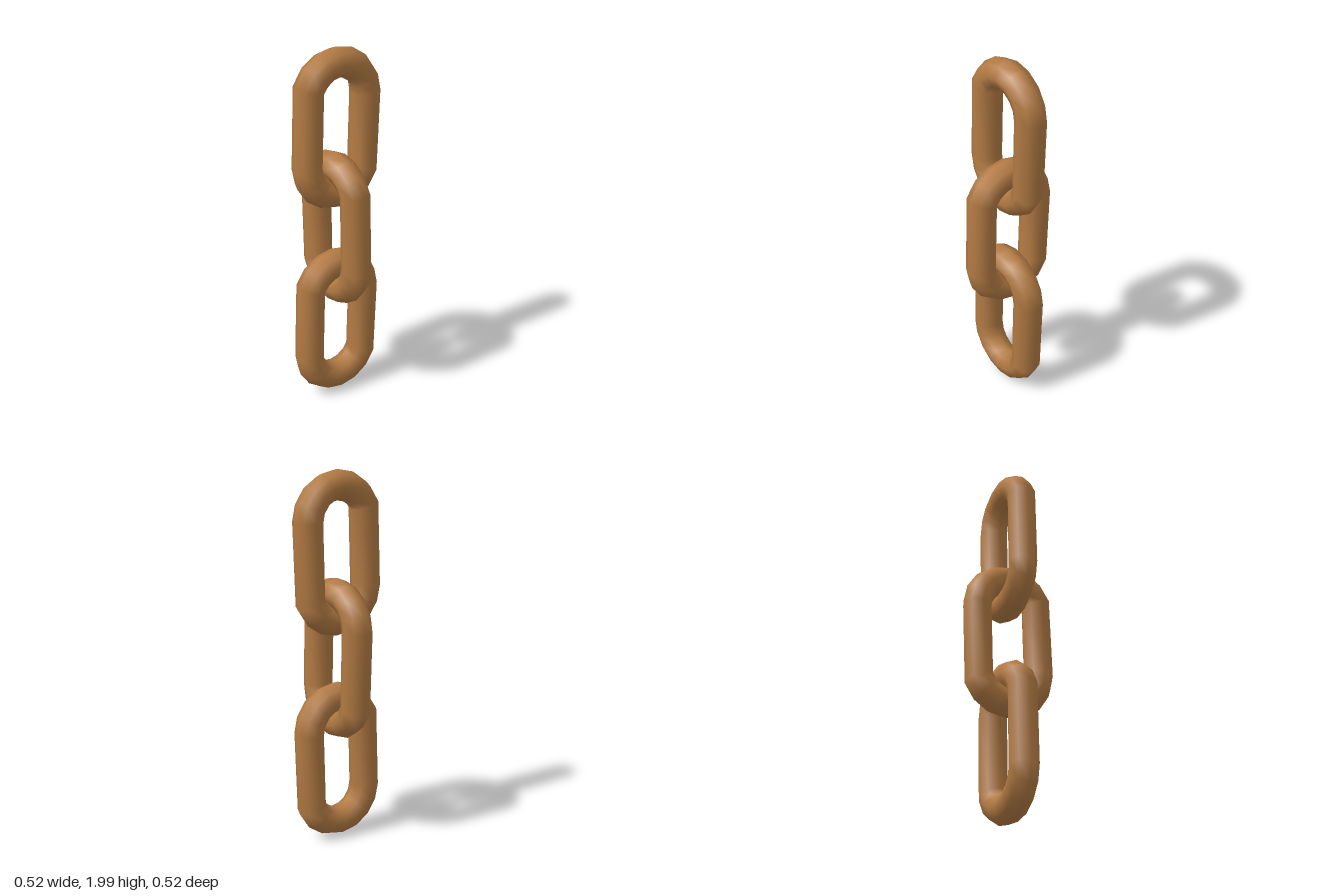
import * as THREE from 'three';

const BEND = 0.18;      // radius of the rounded ends, at the bar's centre line
const STRAIGHT = 0.175; // half length of the straight sides
const BAR = 0.08;       // bar thickness radius
const SIDES = 8;
const STEPS = 16;

// Centre line of one link: two half circles of eight points each
function linkPath() {
  const path = [];
  for (let i = 0; i < STEPS; i++) {
    const a = (i / STEPS) * Math.PI * 2;
    const lift = i < STEPS / 2 ? STRAIGHT : -STRAIGHT;
    path.push(new THREE.Vector2(BEND * Math.cos(a), BEND * Math.sin(a) + lift));
  }
  return path;
}

// Sweep an octagonal bar around the closed centre line
function linkGeometry() {
  const path = linkPath();
  const positions = [];
  const indices = [];
  path.forEach((p, i) => {
    const before = p.clone().sub(path[(i + STEPS - 1) % STEPS]).normalize();
    const after = path[(i + 1) % STEPS].clone().sub(p).normalize();
    const t = before.add(after).normalize();
    for (let j = 0; j < SIDES; j++) {
      const b = (j / SIDES) * Math.PI * 2;
      const out = BAR * Math.cos(b);
      positions.push(p.x + t.y * out, p.y - t.x * out, BAR * Math.sin(b));

      const i2 = (i + 1) % STEPS;
      const j2 = (j + 1) % SIDES;
      const a0 = i * SIDES + j, a1 = i * SIDES + j2;
      const b0 = i2 * SIDES + j, b1 = i2 * SIDES + j2;
      indices.push(a0, b0, b1, a0, b1, a1);
    }
  });
  const geometry = new THREE.BufferGeometry();
  geometry.setAttribute('position', new THREE.Float32BufferAttribute(positions, 3));
  geometry.setIndex(indices);
  geometry.computeVertexNormals();
  return geometry;
}

export function createModel() {
  const chain = new THREE.Group();
  chain.name = 'chain';

  const copper = new THREE.MeshStandardMaterial({ color: 0xb27a43 });
  copper.name = 'copper brown';

  // Three interlocked links, the middle one turned a quarter
  const geometry = linkGeometry();
  [['topLink', 1.565], ['middleLink', 1.004], ['bottomLink', 0.441]].forEach(([name, y], i) => {
    const link = new THREE.Mesh(geometry, copper);
    link.name = name;
    link.position.y = y;
    link.rotation.y = i === 1 ? Math.PI / 2 : 0;
    chain.add(link);
  });

  return chain;
}
